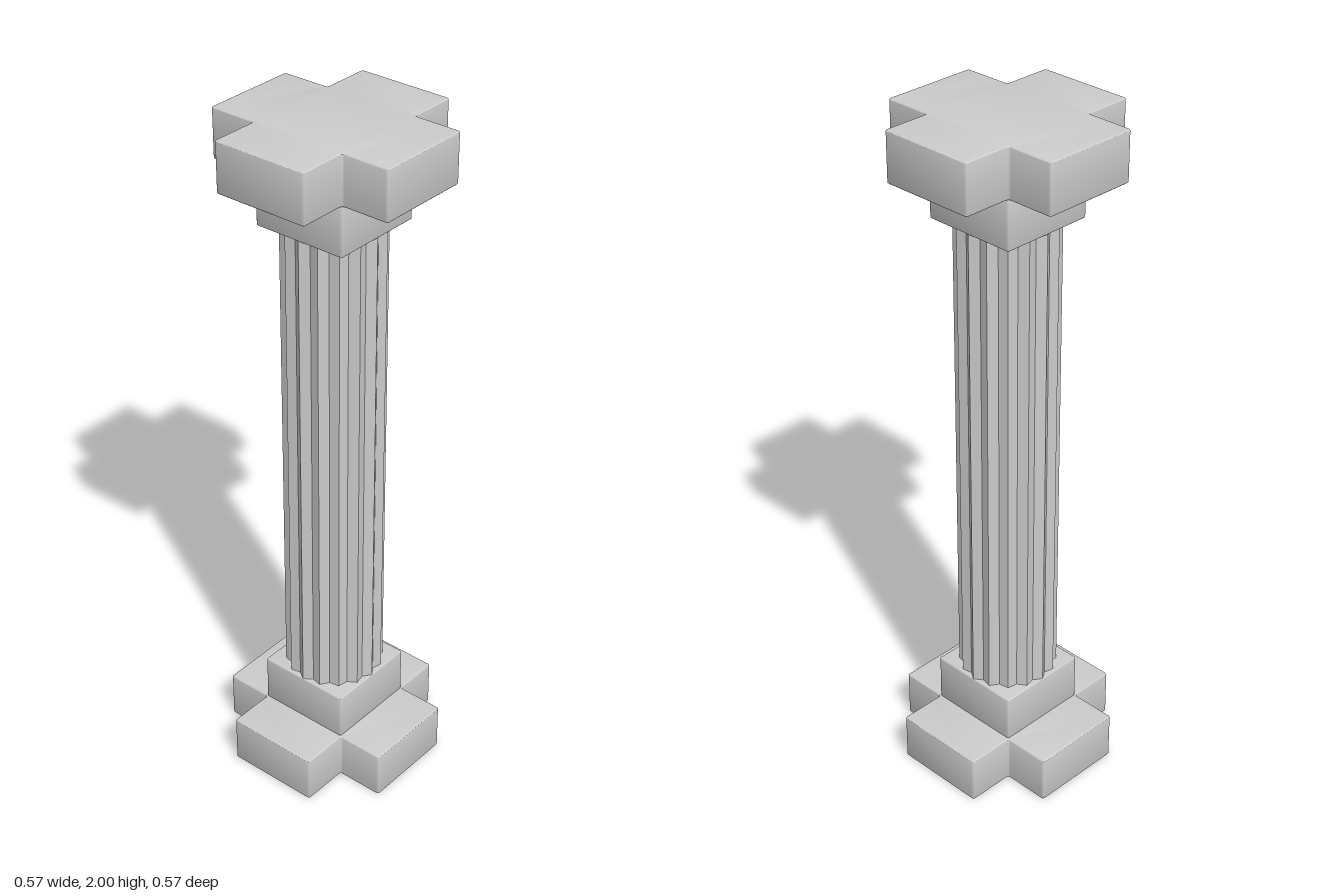
import * as THREE from 'three';
import { toCreasedNormals } from 'three/addons/utils/BufferGeometryUtils.js';

const U = 1 / 7;          // module: block half width and slab height
const BEVEL = 0.004;
const ROUND = 0.008;

// Closed outline whose corners are all slightly rounded
function roundedOutline(corners) {
  const pts = corners.map(([x, y]) => new THREE.Vector2(x, y));
  const shape = new THREE.Shape();
  pts.forEach((p, i) => {
    const prev = pts[(i + pts.length - 1) % pts.length];
    const next = pts[(i + 1) % pts.length];
    const a = p.clone().add(prev.clone().sub(p).setLength(ROUND));
    const b = p.clone().add(next.clone().sub(p).setLength(ROUND));
    if (i === 0) shape.moveTo(a.x, a.y);
    else shape.lineTo(a.x, a.y);
    shape.quadraticCurveTo(p.x, p.y, b.x, b.y);
  });
  shape.closePath();
  return shape;
}

// Slab with softened edges, standing on y = 0
function slabGeometry(corners, height) {
  const geo = new THREE.ExtrudeGeometry(roundedOutline(corners), {
    depth: height - 2 * BEVEL, curveSegments: 3,
    bevelEnabled: true, bevelSize: BEVEL, bevelOffset: -BEVEL,
    bevelThickness: BEVEL, bevelSegments: 3,
  });
  geo.translate(0, 0, BEVEL);
  geo.rotateX(-Math.PI / 2);
  return toCreasedNormals(geo, 0.7);
}

// Fluted shaft: sharp ridges alternating with V grooves
function shaftGeometry(flutes, ridge, groove, height) {
  const shape = new THREE.Shape();
  for (let i = 0; i < flutes * 2; i++) {
    const a = (i / flutes) * Math.PI;
    const r = i % 2 ? groove : ridge;
    if (i === 0) shape.moveTo(r, 0);
    else shape.lineTo(r * Math.cos(a), r * Math.sin(a));
  }
  shape.closePath();
  const geo = new THREE.ExtrudeGeometry(shape, { depth: height, bevelEnabled: false });
  geo.rotateX(-Math.PI / 2);
  return geo;
}

export function createModel() {
  const group = new THREE.Group();
  group.name = 'column';
  const stone = new THREE.MeshStandardMaterial({ color: 0xcccccc });

  const add = (name, geo, y) => {
    const mesh = new THREE.Mesh(geo, stone);
    mesh.name = name;
    mesh.position.y = y;
    group.add(mesh);
  };

  const w = 2 * U;
  const cross = slabGeometry([
    [w, -U], [w, U], [U, U], [U, w], [-U, w], [-U, U],
    [-w, U], [-w, -U], [-U, -U], [-U, -w], [U, -w], [U, -U],
  ], U);
  const block = slabGeometry([[U, -U], [U, U], [-U, U], [-U, -U]], U);

  // Base
  add('baseSlab', cross, 0);
  add('baseBlock', block, U);
  // Shaft
  add('flutedShaft', shaftGeometry(16, U, 0.128, 10 * U), 2 * U);
  // Capital
  add('capitalBlock', block, 12 * U);
  add('capitalSlab', cross, 13 * U);

  return group;
}
